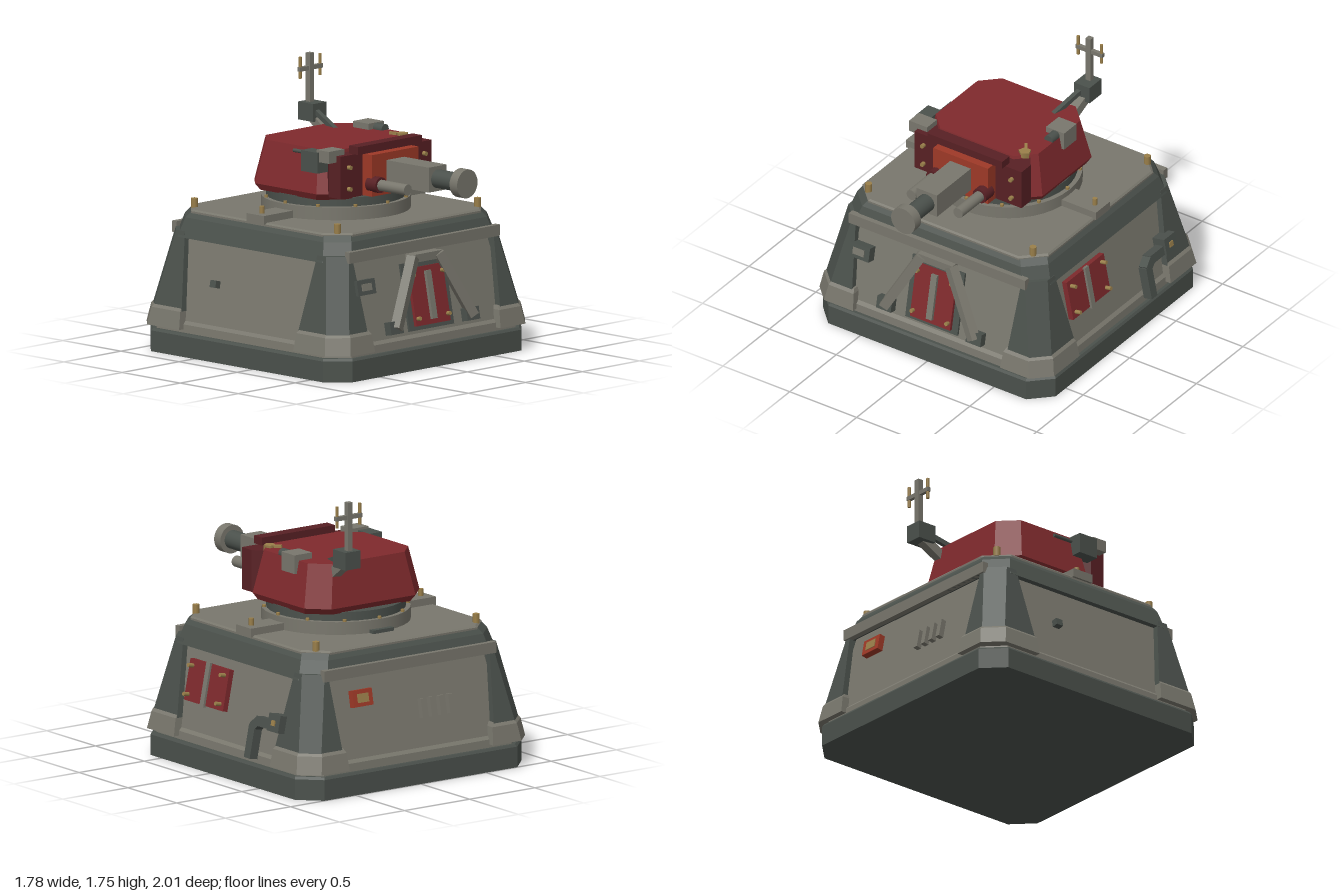
import * as THREE from 'three';

const mat = (name, color) => {
  const m = new THREE.MeshStandardMaterial({ color });
  m.name = name;
  return m;
};

export function createModel() {
  const grey = mat('stone grey', 0x79776d), dark = mat('dark grey', 0x4b514c);
  const red = mat('armour red', 0x7f2a2d), maroon = mat('deep maroon', 0x582024);
  const orange = mat('mantlet orange red', 0x9e3927), brass = mat('brass', 0x9a7f4a);

  const root = new THREE.Group();
  root.name = 'gunTurret';
  const group = (name, parent) => {
    const g = new THREE.Group();
    g.name = name;
    parent.add(g);
    return g;
  };
  const add = (parent, name, geo, m, x = 0, y = 0, z = 0) => {
    const mesh = new THREE.Mesh(geo, m);
    mesh.name = name;
    mesh.position.set(x, y, z);
    parent.add(mesh);
    return mesh;
  };
  // box from its limits
  const box = (p, name, m, x0, x1, y0, y1, z0, z1) => add(p, name,
    new THREE.BoxGeometry(x1 - x0, y1 - y0, z1 - z0), m, (x0 + x1) / 2, (y0 + y1) / 2, (z0 + z1) / 2);
  const cylY = (p, name, m, r, y0, y1, x, z, n = 8, rTop = r) =>
    add(p, name, new THREE.CylinderGeometry(rTop, r, y1 - y0, n), m, x, (y0 + y1) / 2, z);
  const cylZ = (p, name, m, r, z0, z1, x, y, n = 16) =>
    add(p, name, new THREE.CylinderGeometry(r, r, z1 - z0, n).rotateX(Math.PI / 2), m, x, y, (z0 + z1) / 2);
  // square bar between two points
  const beam = (p, name, m, a, b, w, h) => {
    const va = new THREE.Vector3(...a), vb = new THREE.Vector3(...b);
    const mesh = add(p, name, new THREE.BoxGeometry(w, h, va.distanceTo(vb)), m);
    mesh.position.copy(va).add(vb).multiplyScalar(0.5);
    mesh.quaternion.setFromRotationMatrix(
      new THREE.Matrix4().lookAt(vb, va, new THREE.Vector3(0, 1, 0)));
    return mesh;
  };
  // flat-sided solid through horizontal rings: [y, [[x, z], ...]]
  const loft = (sections) => {
    const pos = [];
    const n = sections[0][1].length;
    const put = (s, i) => pos.push(s[1][i % n][0], s[0], s[1][i % n][1]);
    for (let k = 0; k + 1 < sections.length; k++) {
      const a = sections[k], b = sections[k + 1];
      for (let i = 0; i < n; i++) {
        put(a, i); put(a, i + 1); put(b, i + 1);
        put(a, i); put(b, i + 1); put(b, i);
      }
    }
    const bot = sections[0], top = sections[sections.length - 1];
    for (let i = 1; i < n - 1; i++) {
      put(top, 0); put(top, i); put(top, i + 1);
      put(bot, 0); put(bot, i + 1); put(bot, i);
    }
    const g = new THREE.BufferGeometry();
    g.setAttribute('position', new THREE.Float32BufferAttribute(pos, 3));
    g.computeVertexNormals();
    return g;
  };
  const oct = (hx, hz, c) => [[c - hx, hz], [hx - c, hz], [hx, hz - c], [hx, c - hz],
    [hx - c, -hz], [c - hx, -hz], [-hx, c - hz], [-hx, hz - c]];
  const block = (...rows) => loft(rows.map(([y, h, c]) => [y, oct(h, h, c)]));

  // bunker body, square with cut corners
  const body = group('bunker', root);
  body.position.z = -0.13;
  add(body, 'plinth', block([0.005, 0.87, 0.13], [0.135, 0.87, 0.13], [0.15, 0.86, 0.13]), dark);
  add(body, 'walls', block([0.15, 0.83, 0.12], [0.8, 0.7, 0.12]), grey);
  add(body, 'wallSkirt', block([0.15, 0.84, 0.12], [0.2, 0.835, 0.12], [0.22, 0.816, 0.12]), grey);
  add(body, 'roofBand', block([0.72, 0.755, 0.13], [0.84, 0.715, 0.12], [0.875, 0.69, 0.12]), dark);
  add(body, 'roofPlate', block([0.86, 0.695, 0.13], [0.88, 0.695, 0.13], [0.89, 0.685, 0.13]), grey);
  for (const s of [-1, 1]) box(body, 'eaveBar', grey, -0.66, 0.66, 0.72, 0.79, s * 0.745 - 0.02, s * 0.745 + 0.02);

  // corner posts and feet
  for (const sx of [-1, 1]) for (const sz of [-1, 1]) {
    const corner = (rows) => loft(rows.map(([y, h, c, ix, iz]) => {
      const r = [[ix, h], [h - c, h], [h, h - c], [h, iz], [ix, iz]].map(([x, z]) => [x * sx, z * sz]);
      return [y, sx * sz < 0 ? r.reverse() : r];
    }));
    add(body, 'cornerPost', corner([[0.28, 0.845, 0.1, 0.58, 0.5], [0.76, 0.745, 0.1, 0.62, 0.57]]), dark);
    add(body, 'cornerFoot', corner([[0.17, 0.877, 0.11, 0.55, 0.49], [0.28, 0.857, 0.11, 0.56, 0.5],
      [0.305, 0.835, 0.1, 0.57, 0.51]]), grey);
    cylY(body, 'roofBolt', brass, 0.022, 0.885, 0.945, sx * 0.615, sz * 0.615);
  }
  for (const s of [-1, 1]) {
    box(body, 'roofPad', grey, Math.min(s * 0.4, s * 0.71), Math.max(s * 0.4, s * 0.71), 0.88, 0.935, -0.075, 0.075);
    cylY(body, 'padBolt', brass, 0.016, 0.93, 0.98, s * 0.65, 0);
  }

  // mount leaning with a wall: angle picks the wall, u runs along it
  const slope = Math.atan(0.2);
  const onWall = (name, angle, u, y) => {
    const g = group(name, body), d = 0.83 - 0.2 * (y - 0.15);
    g.rotation.order = 'YXZ';
    g.rotation.set(-slope, angle, 0);
    g.position.set(u * Math.cos(angle) + d * Math.sin(angle), y, d * Math.cos(angle) - u * Math.sin(angle));
    return g;
  };
  const boltSquare = (p, x, y, z0, z1) => {
    for (const sx of [-1, 1]) for (const sy of [-1, 1]) cylZ(p, 'bolt', brass, 0.013, z0, z1, sx * x, sy * y, 8);
  };

  // front door with bracing struts
  const door = onWall('frontDoor', 0, 0, 0.44);
  box(door, 'doorFrame', dark, -0.195, 0.195, -0.205, 0.215, -0.03, 0.015);
  box(door, 'doorPanel', red, -0.15, 0.15, -0.18, 0.18, 0, 0.035);
  box(door, 'doorBar', grey, -0.022, 0.022, -0.15, 0.15, 0.03, 0.055);
  boltSquare(door, 0.13, 0.135, 0.03, 0.06);
  for (const s of [-1, 1]) {
    beam(body, 'strut', grey, [s * 0.335, 0.28, 0.85], [s * 0.11, 0.69, 0.77], 0.06, 0.06);
    const foot = onWall('strutFoot', 0, s * 0.335, 0.28);
    box(foot, 'strutFootBlock', dark, -0.055, 0.055, -0.04, 0.04, -0.02, 0.05);
  }
  box(body, 'strutCrossbar', grey, -0.13, 0.13, 0.655, 0.705, 0.7, 0.785);
  const vent = onWall('frontVent', 0, -0.555, 0.555);
  box(vent, 'ventBox', dark, -0.078, 0.078, -0.047, 0.047, -0.02, 0.06);
  box(vent, 'ventFace', grey, -0.042, 0.042, -0.022, 0.022, 0.058, 0.066);

  // side hatch and pipe on +x
  const hatch = onWall('sideHatch', Math.PI / 2, -0.27, 0.52);
  box(hatch, 'hatchPanel', red, -0.2, 0.2, -0.13, 0.13, -0.01, 0.035);
  box(hatch, 'hatchBar', grey, -0.02, 0.02, -0.14, 0.14, 0.03, 0.05);
  boltSquare(hatch, 0.163, 0.09, 0.03, 0.075);
  const pipe = onWall('sidePipe', Math.PI / 2, 0.285, 0.3);
  box(pipe, 'pipeDrop', dark, -0.03, 0.03, -0.13, 0.08, 0.015, 0.075);
  beam(pipe, 'pipeElbow', dark, [-0.005, 0.065, 0.045], [0.05, 0.112, 0.045], 0.06, 0.06);
  box(pipe, 'pipeRun', dark, 0.03, 0.2, 0.08, 0.14, 0.015, 0.075);
  box(pipe, 'junctionBox', dark, 0.17, 0.285, 0.075, 0.185, -0.02, 0.09);
  box(pipe, 'junctionPlate', brass, 0.21, 0.245, 0.113, 0.147, 0.088, 0.097);

  // back lamp, louvres and the small box on -x
  const lamp = onWall('backLamp', Math.PI, -0.38, 0.58);
  box(lamp, 'lampCase', orange, -0.075, 0.075, -0.052, 0.052, -0.01, 0.04);
  box(lamp, 'lampPlate', brass, -0.042, 0.042, -0.028, 0.028, 0.036, 0.045);
  const louvres = onWall('backLouvres', Math.PI, 0.18, 0.455);
  for (let i = 0; i < 4; i++) {
    const x = -0.105 + i * 0.07;
    box(louvres, 'louvre', grey, x - 0.017, x + 0.017, -0.06, 0.06, -0.01, 0.035);
  }
  const stud = onWall('sideStud', -Math.PI / 2, -0.27, 0.47);
  box(stud, 'studBlock', dark, -0.025, 0.025, -0.022, 0.022, -0.01, 0.04);

  // turning ring
  const ring = group('turretRing', root);
  ring.position.z = -0.13;
  cylY(ring, 'lowerRing', grey, 0.46, 0.885, 0.97, 0, 0, 40);
  cylY(ring, 'upperRing', dark, 0.43, 0.97, 1.025, 0, 0, 40);
  for (let i = 0; i < 12; i++) {
    const a = i * Math.PI / 6;
    cylY(ring, 'ringBolt', brass, 0.012, 0.96, 0.985, 0.445 * Math.sin(a), 0.445 * Math.cos(a));
  }
  box(ring, 'rearStop', dark, -0.08, 0.08, 0.885, 0.912, -0.49, -0.43);

  // turret shell
  const turret = group('turret', root);
  const shell = add(turret, 'turretShell', loft([[1.02, oct(0.42, 0.36, 0.12)], [1.06, oct(0.442, 0.385, 0.12)],
    [1.33, oct(0.385, 0.335, 0.11)]]), red);
  shell.position.z = -0.13;
  for (const s of [-1, 1]) {
    const cheek = loft([[1.045, 0.4], [1.31, 0.4]].map(([y, x]) => {
      const r = [[0.2, 0.3], [x, 0.3], [x, 0.2], [0.34, 0.12], [0.2, 0.12]].map(([a, b]) => [a * s, b]);
      return [y, s < 0 ? r.reverse() : r];
    }));
    add(turret, 'cheekPlate', cheek, maroon);
    for (const y of [1.1, 1.235]) cylZ(turret, 'cheekBolt', brass, 0.014, 0.29, 0.325, s * 0.33, y, 8);
    cylZ(turret, 'smallGunCollar', maroon, 0.05, 0.34, 0.43, s * 0.175, 1.12);
    cylZ(turret, 'smallGunBarrel', grey, 0.035, 0.4, 0.66, s * 0.175, 1.12);
  }
  box(turret, 'mantlet', orange, -0.205, 0.205, 1.045, 1.305, 0.2, 0.38);
  box(turret, 'visorBar', maroon, -0.28, 0.28, 1.31, 1.36, 0.255, 0.335);

  // main gun
  box(turret, 'gunHousing', grey, -0.077, 0.077, 1.102, 1.258, 0.36, 0.745);
  cylZ(turret, 'gunBarrel', dark, 0.058, 0.74, 0.94, 0, 1.18, 20);
  cylZ(turret, 'gunMuzzle', grey, 0.09, 0.935, 1.0, 0, 1.18, 24);

  // sights on both flanks
  box(turret, 'sightMount', dark, -0.48, -0.385, 1.2, 1.33, 0.04, 0.18);
  box(turret, 'sightHead', grey, -0.465, -0.33, 1.27, 1.345, 0.16, 0.265);
  cylZ(turret, 'sightRod', dark, 0.012, -0.1, 0.06, -0.4, 1.3, 8);
  box(turret, 'cameraBox', grey, 0.285, 0.42, 1.25, 1.368, -0.265, -0.13);
  cylZ(turret, 'cameraLens', dark, 0.032, -0.14, -0.055, 0.355, 1.335);
  cylY(turret, 'beacon', brass, 0.04, 1.31, 1.345, 0.31, 0.135, 5);
  beam(turret, 'beaconRod', brass, [0.31, 1.335, 0.125], [0.27, 1.34, 0.065], 0.018, 0.018);

  // antenna on its rear arm
  const antenna = group('antenna', turret);
  beam(antenna, 'antennaBrace', dark, [0.2, 1.315, -0.33], [0.255, 1.4, -0.56], 0.03, 0.03);
  beam(antenna, 'antennaArm', grey, [0.25, 1.255, -0.43], [0.275, 1.375, -0.61], 0.06, 0.06);
  box(antenna, 'antennaBase', dark, 0.213, 0.328, 1.335, 1.447, -0.665, -0.535);
  box(antenna, 'antennaMast', grey, 0.252, 0.288, 1.44, 1.752, -0.638, -0.602);
  box(antenna, 'antennaCrossbar', grey, 0.172, 0.372, 1.645, 1.672, -0.632, -0.608);
  for (const x of [0.185, 0.36]) cylY(antenna, 'antennaProng', brass, 0.01, 1.6, 1.735, x, -0.62);

  return root;
}
